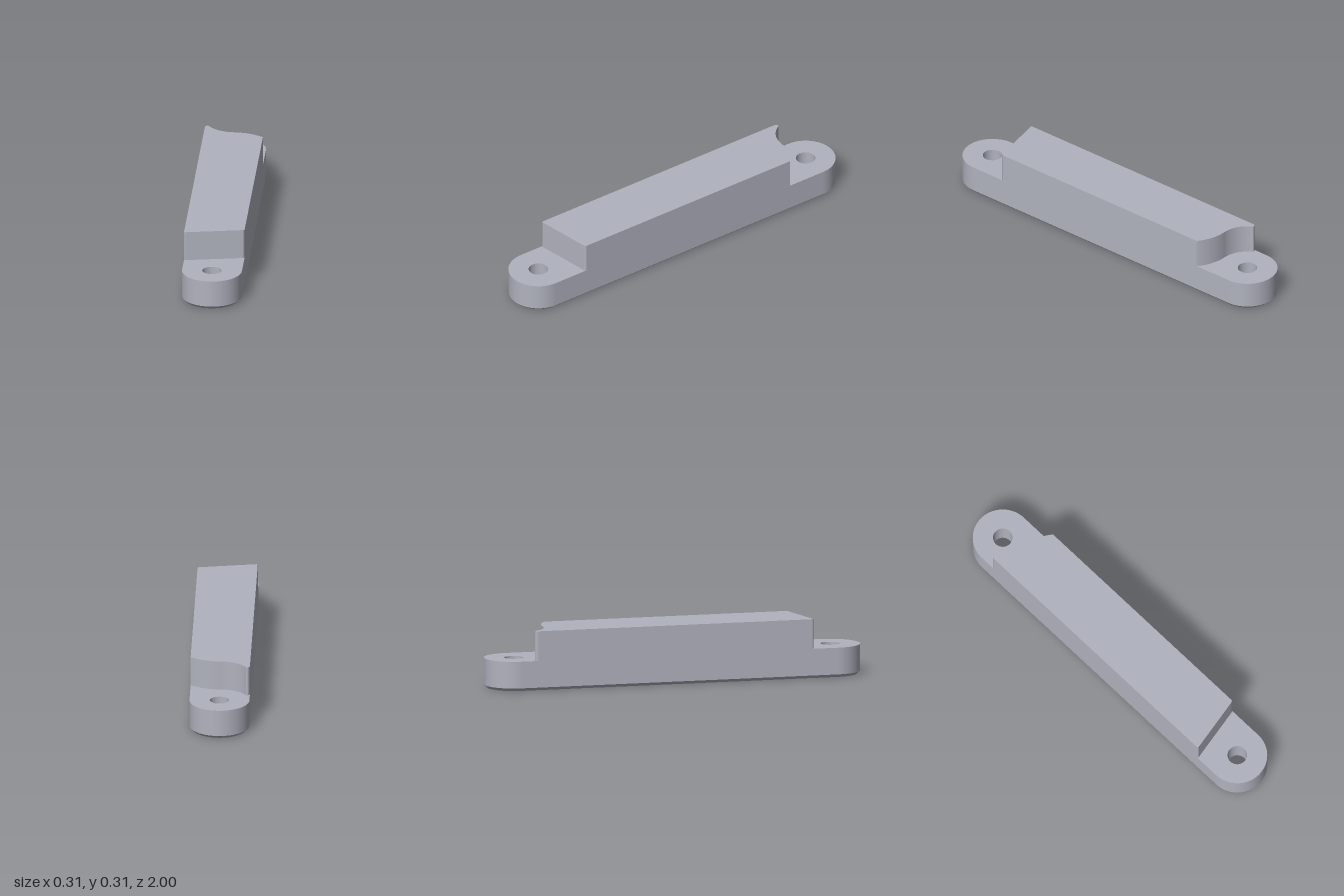
import * as THREE from 'three';

const R = 0.154;        // half width and end radius
const CZ = 0.846;       // distance of each end centre from the middle
const HOLE = 0.05;      // screw hole radius
const CHAMFER = 0.0154; // bottom edge chamfer
const BASE_H = 0.154;
const TOP_H = 0.308;

// Extrudes a plan outline (shape y = -z) upwards
function extrudeUp(shape, depth, steps) {
  const g = new THREE.ExtrudeGeometry(shape, { depth, steps, curveSegments: 24, bevelEnabled: false });
  return g.rotateX(-Math.PI / 2);
}

// Round-ended bar with two holes, all bottom edges chamfered
function baseGeometry() {
  const s = new THREE.Shape();
  s.absarc(0, CZ, R, 0, Math.PI, false);
  s.absarc(0, -CZ, R, Math.PI, 2 * Math.PI, false);
  s.closePath();
  for (const z of [-CZ, CZ]) {
    const h = new THREE.Path();
    h.absarc(0, z, HOLE, 0, 2 * Math.PI, true);
    s.holes.push(h);
  }
  const g = extrudeUp(s, BASE_H, 2);
  const p = g.attributes.position;
  for (let i = 0; i < p.count; i++) {
    const x = p.getX(i), y = p.getY(i), z = p.getZ(i);
    if (y < 0.01) {
      // bottom layer: pull the outline in and widen the holes
      const cz = Math.sign(z) * CZ;
      const d = Math.hypot(x, z - cz);
      const k = (d < HOLE * 1.2 ? HOLE + CHAMFER : R - CHAMFER) / d;
      p.setXYZ(i, x * k, 0, cz + (z - cz) * k);
    } else if (y < BASE_H - 0.01) {
      p.setY(i, CHAMFER);
    }
  }
  g.computeVertexNormals();
  return g;
}

// Raised block: slanted front, S-curved back
function blockGeometry() {
  const s = new THREE.Shape();
  s.moveTo(-R, -0.703);
  s.quadraticCurveTo(-R, -0.715, -0.142, -0.712);
  s.lineTo(0.142, -0.662);
  s.quadraticCurveTo(R, -0.66, R, -0.648);
  s.lineTo(R, 0.635);
  s.absarc(0, 0.456, 0.236, Math.atan2(0.179, R), Math.PI / 2, false);
  s.absarc(0, CZ, R, -Math.PI / 2, Math.atan2(-0.074, -0.135), true);
  s.quadraticCurveTo(-0.147, 0.778, -R, 0.76);
  s.closePath();
  return extrudeUp(s, TOP_H - BASE_H, 1).translate(0, BASE_H, 0);
}

export function createModel() {
  const grey = new THREE.MeshStandardMaterial({ color: 0xb0b2be });
  grey.name = 'light grey';
  const group = new THREE.Group();
  group.name = 'mountingBar';
  const parts = { base: baseGeometry(), raisedBlock: blockGeometry() };
  for (const [name, geometry] of Object.entries(parts)) {
    const mesh = new THREE.Mesh(geometry, grey);
    mesh.name = name;
    group.add(mesh);
  }
  return group;
}
